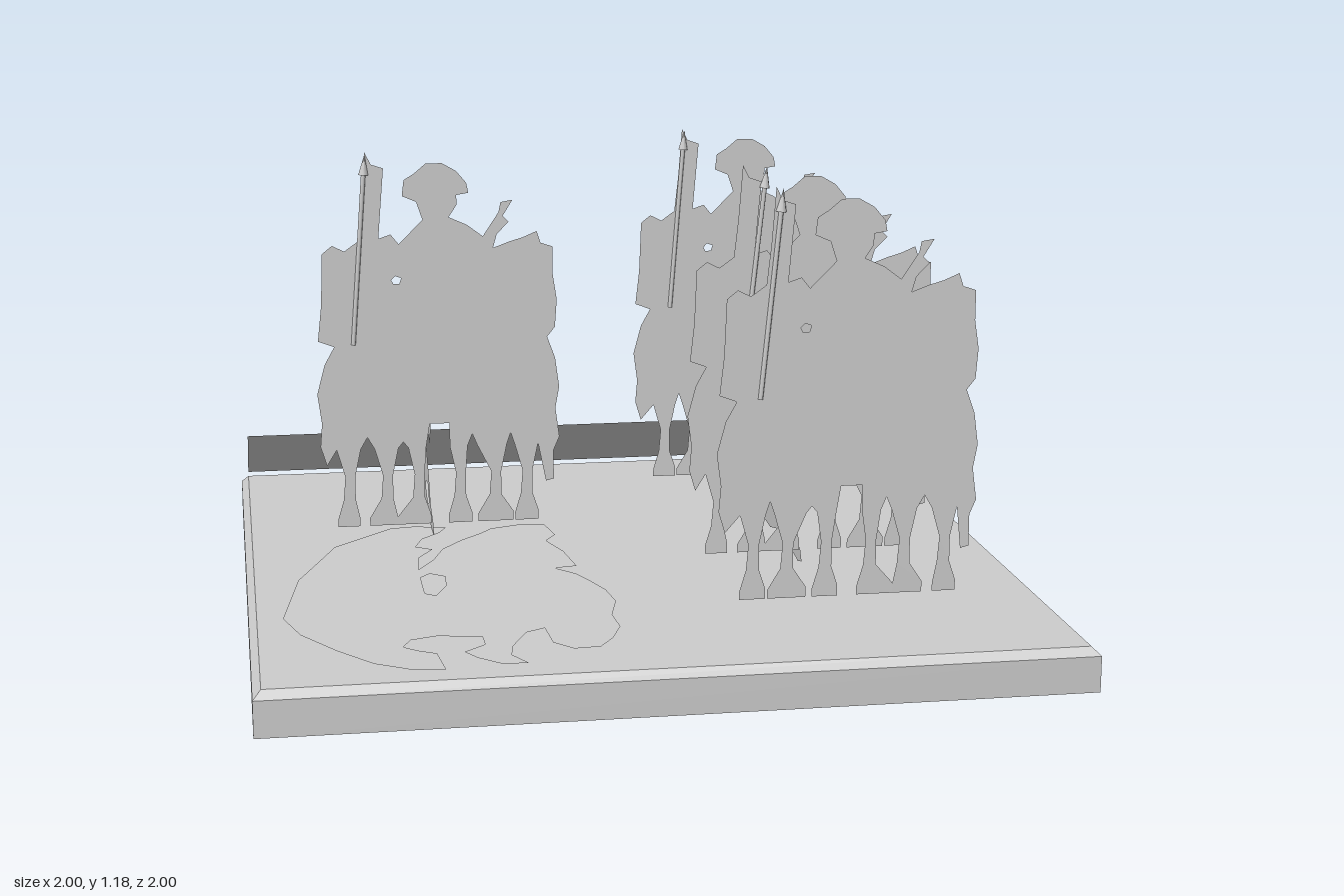
import * as THREE from 'three';

const UNIT = 187; // sketch-grid steps per model unit

const gray = new THREE.MeshStandardMaterial({ color: 0xcccccc, side: THREE.DoubleSide });
gray.name = 'plain gray';

function addMesh(parent, name, geometry) {
  const mesh = new THREE.Mesh(geometry, gray);
  mesh.name = name;
  parent.add(mesh);
  return mesh;
}

// Flat cut-out from sketch points (x right, y down) about a given origin
function cutout(points, ox, oy, holes = []) {
  const toUnits = list => list.map(([x, y]) => new THREE.Vector2((x - ox) / UNIT, (oy - y) / UNIT));
  const shape = new THREE.Shape(toUnits(points));
  for (const h of holes) shape.holes.push(new THREE.Path(toUnits(h)));
  return new THREE.ShapeGeometry(shape);
}

// Mounted party: bodies, hat and weapons, left to right
const partyTop = [
  [93, 272], [90, 262], [91, 250], [89, 235], [93, 220], [98, 211], [90, 208], [92, 190], [93, 164],
  [98, 160], [104, 163], [111, 158], [113, 140], [115, 114], [118, 120], [124, 122], [121, 157],
  [127, 155], [131, 160], [137, 154], [143, 148], [140, 139], [133, 136], [134, 128], [139, 125],
  [145, 120], [153, 120], [160, 124], [165, 130], [166, 135], [160, 136], [160, 141], [156, 147],
  [165, 151], [173, 157], [181, 145], [182, 140], [188, 139], [183, 147], [186, 150], [180, 156],
  [178, 163], [186, 160], [193, 158], [200, 155], [202, 161], [208, 163], [208, 177], [210, 190],
  [209, 204], [205, 209], [209, 220], [211, 235], [209, 246], [211, 261], [208, 268], [208, 283], [204, 284],
];

// Legs: top left, top right, ankle, foot left, foot right
const partyLegs = [
  [98, 110, 104, 98, 109], [117, 129, 123, 114, 128], [134, 143, 139, 128, 145],
  [155, 164, 160, 154, 166], [169, 184, 178, 169, 187], [188, 200, 194, 188, 200],
];

function partyGeometry(mirrorLegs) {
  const legs = mirrorLegs
    ? partyLegs.map(([a, b, k, c, d]) => [300 - b, 300 - a, 300 - k, 300 - d, 300 - c]).reverse()
    : partyLegs;
  const points = [...partyTop];
  for (let i = legs.length - 1; i >= 0; i--) {
    const [tl, tr, ankle, fl, fr] = legs[i];
    const wideRight = i === 2, wideLeft = i === 3;
    points.push([tr, 264], [ankle + 3, 278], [ankle + 3, 290], [fr, 299], [fr, 304],
      [fl, 304], [fl, 300], [ankle - 3, 290], [ankle - 2, 278], [tl, 264]);
    // arch between neighbouring legs
    if (wideLeft) points.push([tl, 252], [legs[2][1] + 2, 252]);
    else if (i > 0 && !wideRight) points.push([(tl + legs[i - 1][1]) / 2, 258]);
    else if (i > 0) points.push([(tl + legs[i - 1][1]) / 2, 261]);
  }
  return cutout(points, 150, 335.5, [[[127, 178], [129, 176], [132, 177], [131, 180], [128, 180]]]);
}

// Stooping animal: shared head, back and forelegs, own hindquarters
const stoopFront = [
  [757, 298], [748, 307], [725, 311], [708, 312], [690, 308], [675, 308], [660, 310], [645, 312],
  [637, 310], [640, 305], [655, 299], [664, 286], [675, 276], [690, 268], [706, 264], [712, 260],
  [712, 252], [690, 252], [675, 255], [663, 264], [652, 267], [650, 258], [646, 250], [648, 238],
  [656, 227], [668, 214], [681, 204], [695, 199], [713, 195], [730, 200],
];
const stoopHoles = [
  [[671, 241], [678, 239], [682, 245], [676, 250], [671, 250]],
  [[665, 301], [672, 292], [682, 293], [683, 298], [673, 303]],
];

function stoopGeometry(shift, hind) {
  const move = list => list.map(([x, y]) => [x + shift, y]);
  const g = cutout([...move(stoopFront), ...hind], 686, 335.5, stoopHoles.map(move));
  return g.rotateY(Math.PI / 2);
}

const nearHind = [
  [745, 206], [757, 213], [770, 230], [782, 248], [791, 260], [796, 265], [780, 264],
  [769, 265], [769, 284], [782, 298], [795, 309], [777, 314], [764, 308],
];
const farHind = [
  [815, 209], [824, 220], [832, 213], [842, 216], [846, 228], [843, 237], [855, 249], [858, 265],
  [857, 290], [862, 297], [861, 302], [842, 302], [840, 306],
];

// Animal lying flat on the ground
const lying = [
  [1010, 192], [1022, 180], [1035, 178], [1050, 183], [1046, 192], [1036, 203], [1032, 216], [1040, 222],
  [1032, 236], [1030, 257], [1039, 240], [1045, 222], [1056, 207], [1066, 197], [1073, 188], [1090, 182],
  [1101, 184], [1104, 205], [1098, 215], [1104, 235], [1107, 262], [1096, 264], [1105, 275], [1110, 288],
  [1115, 303], [1117, 322], [1112, 342], [1113, 360], [1107, 376], [1100, 387], [1088, 388], [1080, 378],
  [1079, 357], [1070, 362], [1062, 380], [1060, 392], [1066, 404], [1055, 404], [1045, 394], [1040, 385],
  [1050, 376], [1050, 365], [1030, 361], [1018, 365], [1014, 374], [1020, 380], [1028, 385], [1030, 407],
  [1015, 405], [1000, 395], [985, 375], [970, 350], [963, 325], [967, 298], [972, 265], [983, 235], [992, 210],
];
const lyingHole = [[1035, 264], [1042, 270], [1041, 285], [1035, 300], [1030, 296], [1030, 270]];

// Square base with a chamfered top edge
function baseGeometry() {
  const g = new THREE.CylinderGeometry(0.98 * Math.SQRT2, Math.SQRT2, 0.02, 4, 1);
  return g.rotateY(Math.PI / 4).toNonIndexed();
}

// Leaning spear with a pointed head
function makeSpear(x, z, lean) {
  const spear = new THREE.Group();
  spear.name = 'spear';
  const length = Math.hypot(lean, 0.51);
  addMesh(spear, 'spearShaft', new THREE.CylinderGeometry(0.006, 0.006, length - 0.05, 8))
    .position.y = (length - 0.05) / 2;
  addMesh(spear, 'spearHead', new THREE.ConeGeometry(0.013, 0.055, 8)).position.y = length - 0.0275;
  spear.position.set(x, 0.67, z);
  spear.rotation.z = -Math.atan2(lean, 0.51);
  return spear;
}

export function createModel() {
  const model = new THREE.Group();
  model.name = 'diorama';

  addMesh(model, 'basePlate', new THREE.BoxGeometry(2, 0.09, 2)).position.y = 0.045;
  const rim = baseGeometry();
  rim.computeVertexNormals();
  addMesh(model, 'baseChamfer', rim).position.y = 0.1;

  // Sloping panel along the back edge
  const panel = addMesh(model, 'backPanel', new THREE.PlaneGeometry(1.96, Math.hypot(0.25, 0.17)));
  panel.rotation.set(Math.atan2(0.25, 0.17), Math.PI, 0);
  panel.position.set(0, 0.205, -0.865);

  // Four mounted parties with a spear each
  const parties = [
    { x: -0.47, z: -0.15, mirror: false, spearX: -0.697, lean: 0.04 },
    { x: 0.455, z: 0.67, mirror: true, spearX: 0.235, lean: 0.05 },
    { x: 0.46, z: 0.26, mirror: false, spearX: 0.28, lean: 0.055 },
    { x: 0.455, z: -0.56, mirror: true, spearX: 0.235, lean: 0.04 },
  ];
  for (const p of parties) {
    addMesh(model, 'mountedParty', partyGeometry(p.mirror)).position.set(p.x, 0, p.z);
    model.add(makeSpear(p.spearX, p.z, p.lean));
  }

  // Two stooping animals seen from the sides
  addMesh(model, 'stoopingAnimalNear', stoopGeometry(0, nearHind)).position.x = 0.44;
  addMesh(model, 'stoopingAnimalFar', stoopGeometry(77, farHind)).position.x = -0.49;

  // Lying animal
  const flat = cutout(lying, 1134.5, 225, [lyingHole]).rotateX(-Math.PI / 2);
  addMesh(model, 'lyingAnimal', flat).position.y = 0.133;

  return model;
}
